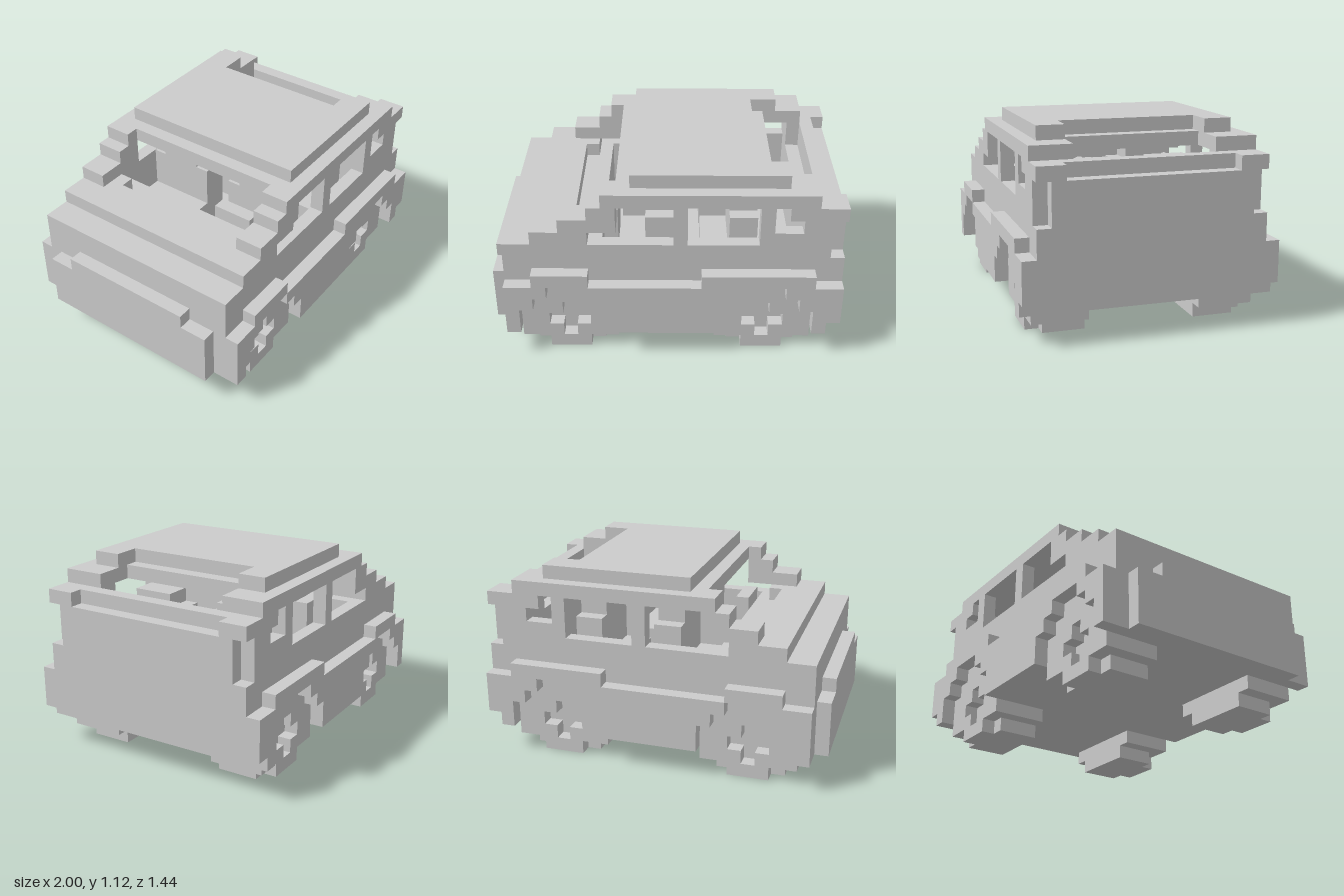
import * as THREE from 'three';

const material = new THREE.MeshStandardMaterial({ color: 0xcccccc, flatShading: true });

const path = (pts, P = THREE.Shape) => new P(pts.map(([x, y]) => new THREE.Vector2(x, y)));
const shift = (pts, dx) => pts.map(([x, y]) => [x + dx, y]);
// Completes a right-hand outline with its reflection about x = 0
const mirrored = (pts) => [...pts, ...pts.map(([x, y]) => [-x, y]).reverse()];

export function createModel() {
  const car = new THREE.Group();
  car.name = 'car';

  function add(name, geometry, parent = car) {
    const mesh = new THREE.Mesh(geometry, material);
    mesh.name = name;
    parent.add(mesh);
    return mesh;
  }
  // Box given by its limits on each axis
  function block(name, x0, x1, y0, y1, z0, z1, parent) {
    const g = new THREE.BoxGeometry(x1 - x0, y1 - y0, z1 - z0);
    g.translate((x0 + x1) / 2, (y0 + y1) / 2, (z0 + z1) / 2);
    return add(name, g, parent);
  }
  // Side profile extruded from z0 to z1
  function slab(name, pts, z0, z1, holes = [], parent = car) {
    const shape = path(pts);
    shape.holes = holes.map((h) => path(h, THREE.Path));
    const g = new THREE.ExtrudeGeometry(shape, { depth: z1 - z0, bevelEnabled: false });
    g.translate(0, 0, z0);
    return add(name, g, parent);
  }
  // Plan outline (x, z) extruded from y0 to y1
  function plate(name, pts, y0, y1) {
    const g = new THREE.ExtrudeGeometry(path(pts), { depth: y1 - y0, bevelEnabled: false });
    g.rotateX(Math.PI / 2).translate(0, y1, 0);
    return add(name, g);
  }
  // Depth range on either side of the car
  const range = (s, a, b) => (s > 0 ? [a, b] : [-b, -a]);
  const rect = (x0, x1, y0, y1) => [[x0, y0], [x1, y0], [x1, y1], [x0, y1]];

  const arch = mirrored([[0.28, 0.16], [0.28, 0.32], [0.2, 0.32], [0.2, 0.4], [0.12, 0.4], [0.12, 0.48]]);
  const lowerEdge = [[1, 0.24], [0.92, 0.24], [0.92, 0.16], ...shift(arch, 0.56), ...shift(arch, -0.56), [-0.92, 0.16]];
  const wheelOutline = (foot) => mirrored([[foot, 0], [foot, 0.08], [0.28, 0.08], [0.28, 0.32],
    [0.2, 0.32], [0.2, 0.4], [0.12, 0.4], [0.12, 0.48]]);
  const cross = mirrored([[0.04, 0.08], [0.04, 0.16], [0.12, 0.16], [0.12, 0.24], [0.04, 0.24], [0.04, 0.32]]);

  const wall = [[-0.92, 0.72], [-0.76, 0.72], [-0.76, 0.8], [-0.6, 0.8], [-0.6, 0.88], [-0.44, 0.88], [-0.44, 0.96],
    [-0.36, 0.96], [-0.36, 1.04], [0.84, 1.04], [0.84, 0.96], [1, 0.96],
    [1, 0.88], [0.92, 0.88], [0.92, 0.64], [1, 0.64], ...lowerEdge];
  const windows = [
    [[-0.44, 0.72], [0.04, 0.72], [0.04, 0.96], [-0.28, 0.96], [-0.28, 0.8], [-0.44, 0.8]],
    rect(0.12, 0.52, 0.72, 0.96),
    [[0.6, 0.8], [0.76, 0.8], [0.76, 0.88], [0.68, 0.88], [0.68, 0.96], [0.6, 0.96]],
  ];

  // Hood, cabin floor and tail in one lengthwise section
  slab('bodyCore', [[-0.92, 0.16], [-0.92, 0.72], [-0.76, 0.72], [-0.76, 0.8], [-0.52, 0.8], [-0.52, 0.72],
    [-0.36, 0.72], [-0.36, 0.4], [0.76, 0.4], [0.76, 0.8], [0.84, 0.8], [0.84, 0.96], [0.92, 0.96], [0.92, 0.88],
    [1, 0.88], [1, 0.24], [0.92, 0.24], [0.92, 0.16]], -0.56, 0.56);

  for (const s of [1, -1]) {
    const side = s > 0 ? 'left' : 'right';
    slab(side + 'SideWall', wall, ...range(s, 0.56, 0.64), windows);

    // Raised lower panel with a fender step above each wheel
    const rearStep = s > 0 ? 0.2 : 0.28;
    slab(side + 'FenderPanel', [[-0.92, 0.48], [-0.76, 0.48], [-0.76, 0.56], [-0.44, 0.56], [-0.44, 0.48],
      [rearStep, 0.48], [rearStep, 0.56], [0.84, 0.56], [0.84, 0.48], [1, 0.48], ...lowerEdge], ...range(s, 0.64, 0.72));

    // Inner pillars and corner fillers
    slab(side + 'WindshieldPillar', [[-0.6, 0.8], [-0.28, 0.8], [-0.28, 0.96], [-0.44, 0.96], [-0.44, 0.88], [-0.6, 0.88]],
      ...range(s, 0.48, 0.56));
    block(side + 'CowlCorner', -0.52, -0.44, 0.72, 0.8, ...range(s, 0.4, 0.56));
    block(side + 'RearPillar', 0.76, 0.84, 0.8, 0.96, ...range(s, 0.4, 0.56));
    block(side + 'TailCorner', 0.92, 1, 0.88, 0.96, ...range(s, 0.48, 0.56));

    // Wheels, each with a sunken cross hub
    for (const [end, x] of [['Front', -0.56], ['Rear', 0.56]]) {
      const wheel = new THREE.Group();
      wheel.name = side + end + 'Wheel';
      wheel.position.x = x;
      car.add(wheel);
      slab('wheelFace', wheelOutline(0.12), ...range(s, 0.56, 0.64), [cross], wheel);
      slab('tyre', wheelOutline(0.2), ...range(s, 0.32, 0.56), [], wheel);
    }

    // Seats with narrower headrests
    for (const [row, x] of [['Front', -0.12], ['Rear', 0.36]]) {
      const seat = new THREE.Group();
      seat.name = side + row + 'Seat';
      car.add(seat);
      block('seatCushion', x - 0.16, x, 0.4, 0.56, ...range(s, 0.08, 0.48), seat);
      block('seatBack', x, x + 0.16, 0.4, 0.8, ...range(s, 0.08, 0.48), seat);
      block('headrest', x, x + 0.16, 0.8, 0.88, ...range(s, 0.16, 0.4), seat);
    }
  }

  // Roof frame with windshield and rear window cut-outs, and the raised roof panel
  plate('roofFrame', [[-0.36, -0.56], [0.84, -0.56], [0.84, -0.4], [0.6, -0.4], [0.6, 0.4], [0.84, 0.4], [0.84, 0.56],
    [-0.36, 0.56], [-0.36, 0.48], [-0.28, 0.48], [-0.28, -0.48], [-0.36, -0.48]], 0.96, 1.04);
  plate('roofPanel', [[-0.2, -0.56], [0.68, -0.56], [0.68, -0.4], [0.52, -0.4], [0.52, 0.4], [0.68, 0.4], [0.68, 0.56],
    [-0.2, 0.56]], 1.04, 1.12);

  // Front bumper, lower at its ends
  block('frontBumper', -1, -0.92, 0.16, 0.48, -0.56, 0.56);
  block('bumperCenter', -1, -0.92, 0.48, 0.56, -0.4, 0.4);

  block('steeringWheel', -0.36, -0.28, 0.56, 0.8, 0.16, 0.4);
  return car;
}
